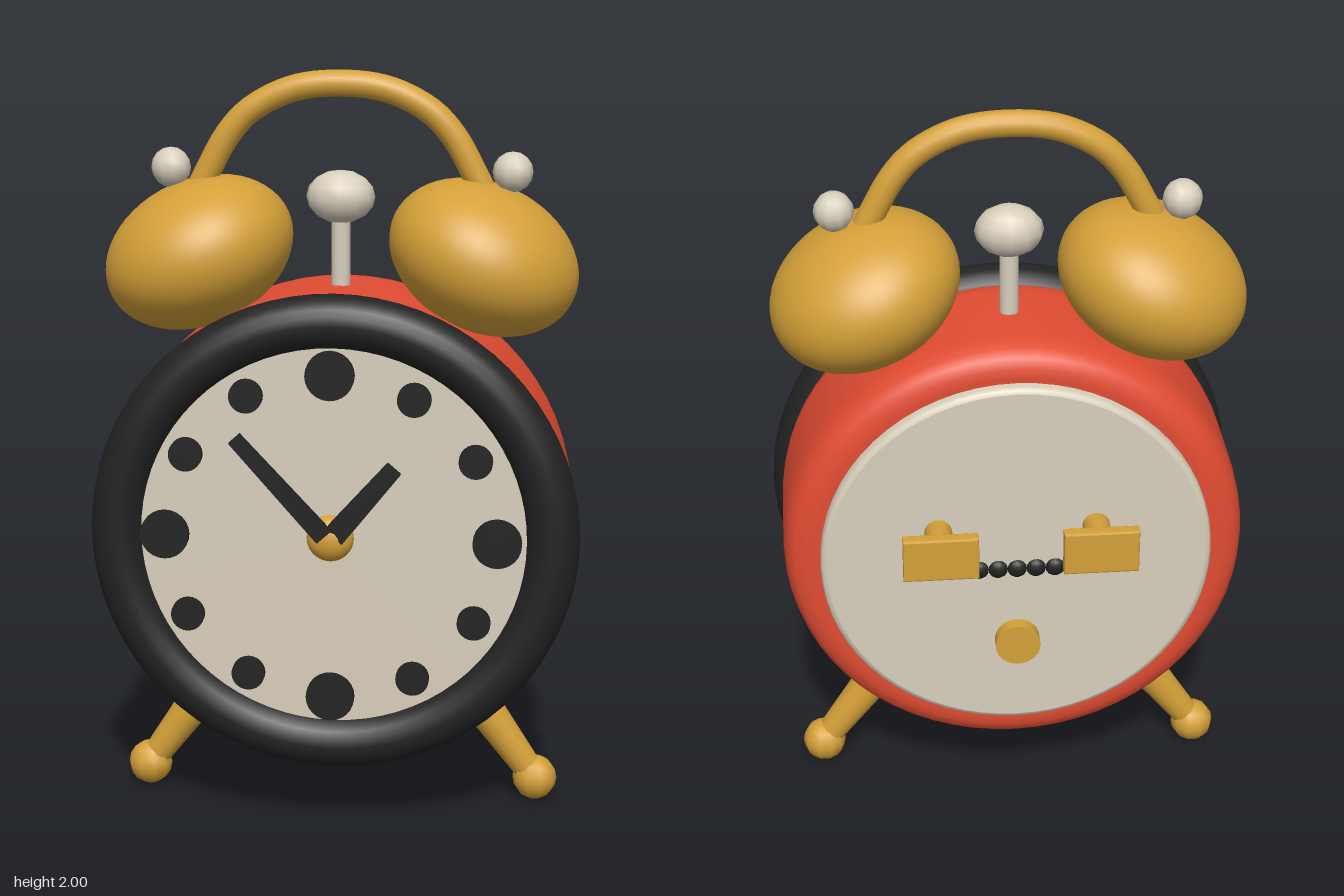
import * as THREE from 'three';

const mat = (name, color) => {
  const m = new THREE.MeshStandardMaterial({ color });
  m.name = name;
  return m;
};

export function createModel() {
  const brass = mat('brass', 0xd4a038);
  const red = mat('red enamel', 0xe24c32);
  const cream = mat('cream', 0xd8cebb);
  const black = mat('black', 0x222222);

  const clock = new THREE.Group();
  clock.name = 'alarmClock';
  const CX = -0.006, CY = 0.815, MZ = 0.038; // dial centre, and depth of bells and legs

  const add = (name, geometry, material, x, y, z) => {
    const mesh = new THREE.Mesh(geometry, material);
    mesh.name = name;
    mesh.position.set(CX + x, y, z);
    clock.add(mesh);
    return mesh;
  };
  // Turned part whose axis points along z; profile is [radius, z] from back to front
  const turned = (profile, sides = 64) =>
    new THREE.LatheGeometry(profile.map(([r, z]) => new THREE.Vector2(r, z)), sides).rotateX(Math.PI / 2);
  const disc = (r, depth, sides = 24) => new THREE.CylinderGeometry(r, r, depth, sides).rotateX(Math.PI / 2);
  const ball = (r, w = 16, h = 12) => new THREE.SphereGeometry(r, w, h);

  // Drum with a softly rounded back edge
  add('body', turned([
    [0, -0.185], [0.54, -0.185], [0.565, -0.183], [0.592, -0.172], [0.61, -0.15], [0.619, -0.115],
    [0.622, -0.07], [0.622, 0.15], [0.618, 0.19], [0.605, 0.22], [0.57, 0.25], [0, 0.25],
  ]), red, 0, CY, 0);
  add('bezel', new THREE.TorusGeometry(0.57, 0.071, 20, 72), black, 0.006, CY, 0.273);

  // Dial with hour markers, the quarter hours being larger
  add('dial', disc(0.53, 0.06, 64), cream, 0, CY, 0.27);
  for (let i = 0; i < 12; i++) {
    const a = (i * Math.PI) / 6;
    add('hourMarker', disc(i % 3 ? 0.044 : 0.064, 0.022), black,
      Math.sin(a) * 0.435, CY + Math.cos(a) * 0.435, 0.309);
  }

  // Hands and hub
  const hand = (name, angle, start, end, baseW, tipW, z) => {
    const s = new THREE.Shape();
    s.moveTo(-baseW / 2, start);
    s.lineTo(baseW / 2, start);
    s.lineTo(tipW / 2, end);
    s.lineTo(-tipW / 2, end);
    const g = new THREE.ExtrudeGeometry(s, { depth: 0.016, bevelEnabled: false });
    add(name, g, black, 0, CY, z).rotation.z = angle;
  };
  hand('minuteHand', 0.735, 0.018, 0.365, 0.05, 0.038, 0.329);
  hand('hourHand', -0.7, 0.018, 0.262, 0.06, 0.045, 0.325);
  add('hub', ball(0.062, 24, 16), brass, 0, CY, 0.3).scale.z = 0.74;

  // Back plate, bead row and setting knob
  add('backPlate', turned([
    [0, -0.217], [0.508, -0.217], [0.508, -0.217], [0.518, -0.213], [0.524, -0.204], [0.524, -0.17],
  ]), cream, 0, CY + 0.003, 0);
  for (let i = -2; i <= 2; i++) {
    add('backBead', ball(0.028, 12, 8), black, i * 0.051, 0.793, -0.212).scale.z = 0.7;
  }
  add('settingKnob', disc(0.061, 0.05), brass, 0, 0.567, -0.229);

  // Winding keys
  for (const s of [-1, 1]) {
    add('windingStem', disc(0.037, 0.13, 16), brass, s * 0.21, 0.92, -0.265);
    const w = 0.094, h = 0.057;
    const plate = new THREE.Shape([[-w, -h], [w, -h], [w, h], [-w, h]].map((p) => new THREE.Vector2(...p)));
    const g = new THREE.ExtrudeGeometry(plate, {
      depth: 0.024, bevelSize: 0.005, bevelThickness: 0.005, bevelSegments: 2,
    });
    add('windingKey', g, brass, s * 0.21, 0.918, -0.349);
  }

  // Bells, finials, legs and feet
  for (const s of [-1, 1]) {
    const bell = add('bell', ball(0.26, 40, 28), brass, s * 0.377, 1.516, MZ);
    bell.scale.y = 0.735;
    bell.rotation.z = -s * 0.44;
    add('bellFinial', ball(0.053, 10, 8), cream, s * 0.449, 1.741, MZ);

    const foot = new THREE.Vector3(s * 0.538, 0.063, 0);
    const inward = new THREE.Vector3(-s * 0.538, CY - 0.063, 0).normalize();
    const mid = foot.clone().addScaledVector(inward, 0.19);
    add('leg', new THREE.CylinderGeometry(0.059, 0.037, 0.38, 20), brass, mid.x, mid.y, MZ)
      .quaternion.setFromUnitVectors(new THREE.Vector3(0, 1, 0), inward);
    add('foot', ball(0.061, 10, 8), brass, foot.x, foot.y, MZ);
  }

  // Carrying handle arching between the bells
  const half = [[0.392, 1.65], [0.352, 1.73], [0.296, 1.83], [0.235, 1.895], [0.125, 1.95]];
  const arch = [
    ...half.map(([x, y]) => new THREE.Vector3(-x, y, 0)),
    new THREE.Vector3(0, 1.965, 0),
    ...half.map(([x, y]) => new THREE.Vector3(x, y, 0)).reverse(),
  ];
  add('handle', new THREE.TubeGeometry(new THREE.CatmullRomCurve3(arch), 48, 0.035, 14), brass, 0, 0, MZ);

  // Hammer
  add('hammerStem', new THREE.CylinderGeometry(0.025, 0.025, 0.25, 16), cream, 0, 1.515, MZ);
  add('hammerHead', ball(0.07, 12, 8), cream, 0, 1.67, MZ).scale.x = 1.3;

  return clock;
}
